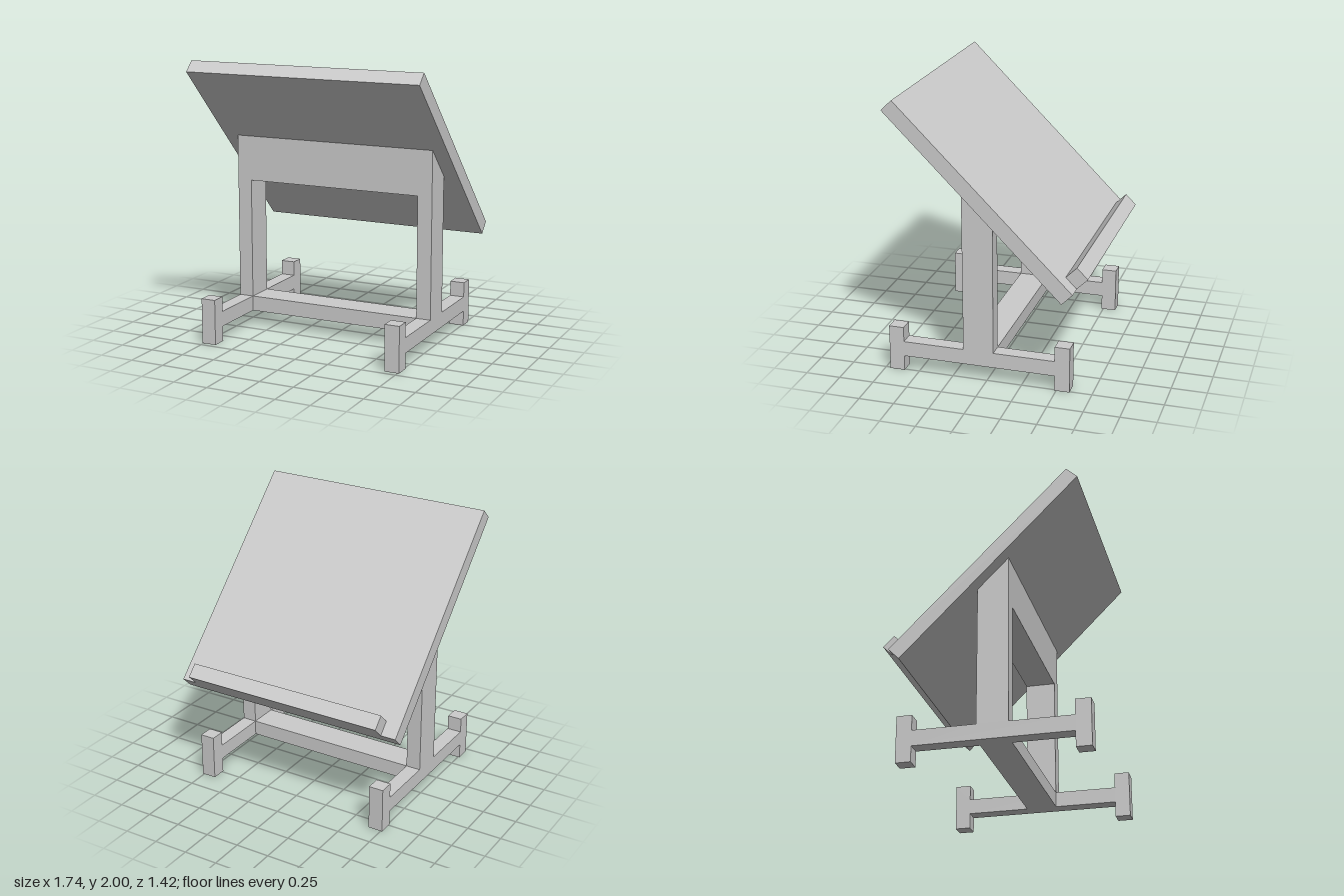
import * as THREE from 'three';

const material = new THREE.MeshStandardMaterial({ color: 0xcccccc, flatShading: true });

// Side profile given as [z, y] points, extruded along x and centred on cx
function slab(name, profile, width, cx = 0) {
  const shape = new THREE.Shape(profile.map(([z, y]) => new THREE.Vector2(z, y)));
  const geo = new THREE.ExtrudeGeometry(shape, { depth: width, bevelEnabled: false });
  geo.translate(0, 0, -width / 2);
  geo.rotateY(-Math.PI / 2);
  const mesh = new THREE.Mesh(geo, material);
  mesh.name = name;
  mesh.position.x = cx;
  return mesh;
}

export function createModel() {
  const group = new THREE.Group();
  group.name = 'draftingTable';

  const post = 0.107, legX = 0.708, inner = 1.309;
  const zFront = 0.167, zBack = -0.05;
  const underside = (z) => 1.255 + z * 0.996; // lower plane of the tilted board

  // Side frames: foot rail with upturned blocks at each end and a mitred upright
  for (const [side, s] of [['left', 1], ['right', -1]]) {
    group.add(slab(side + 'Frame', [
      [0.713, 0], [0.713, 0.328], [0.606, 0.328], [0.606, 0.22],
      [zFront, 0.22], [zFront, underside(zFront)], [zBack, underside(zBack)], [zBack, 0.22],
      [-0.487, 0.22], [-0.487, 0.328], [-0.594, 0.328], [-0.594, 0],
      [-0.487, 0], [-0.487, 0.11], [0.606, 0.11], [0.606, 0],
    ], post, s * legX));
  }

  // Cross members between the uprights
  group.add(slab('stretcher', [
    [zFront, 0.11], [zFront, 0.22], [zBack, 0.22], [zBack, 0.11],
  ], inner));
  group.add(slab('apron', [
    [zFront, 1.095], [zFront, underside(zFront)], [zBack, underside(zBack)], [zBack, 1.095],
  ], inner));

  // Tilted board and the ledge along its low edge
  group.add(slab('board', [
    [0.6, 2], [0.676, 1.928], [-0.558, 0.697], [-0.634, 0.773],
  ], 1.74));
  group.add(slab('ledge', [
    [-0.558, 0.849], [-0.634, 0.925], [-0.71, 0.849], [-0.634, 0.773],
  ], 1.52));

  return group;
}
